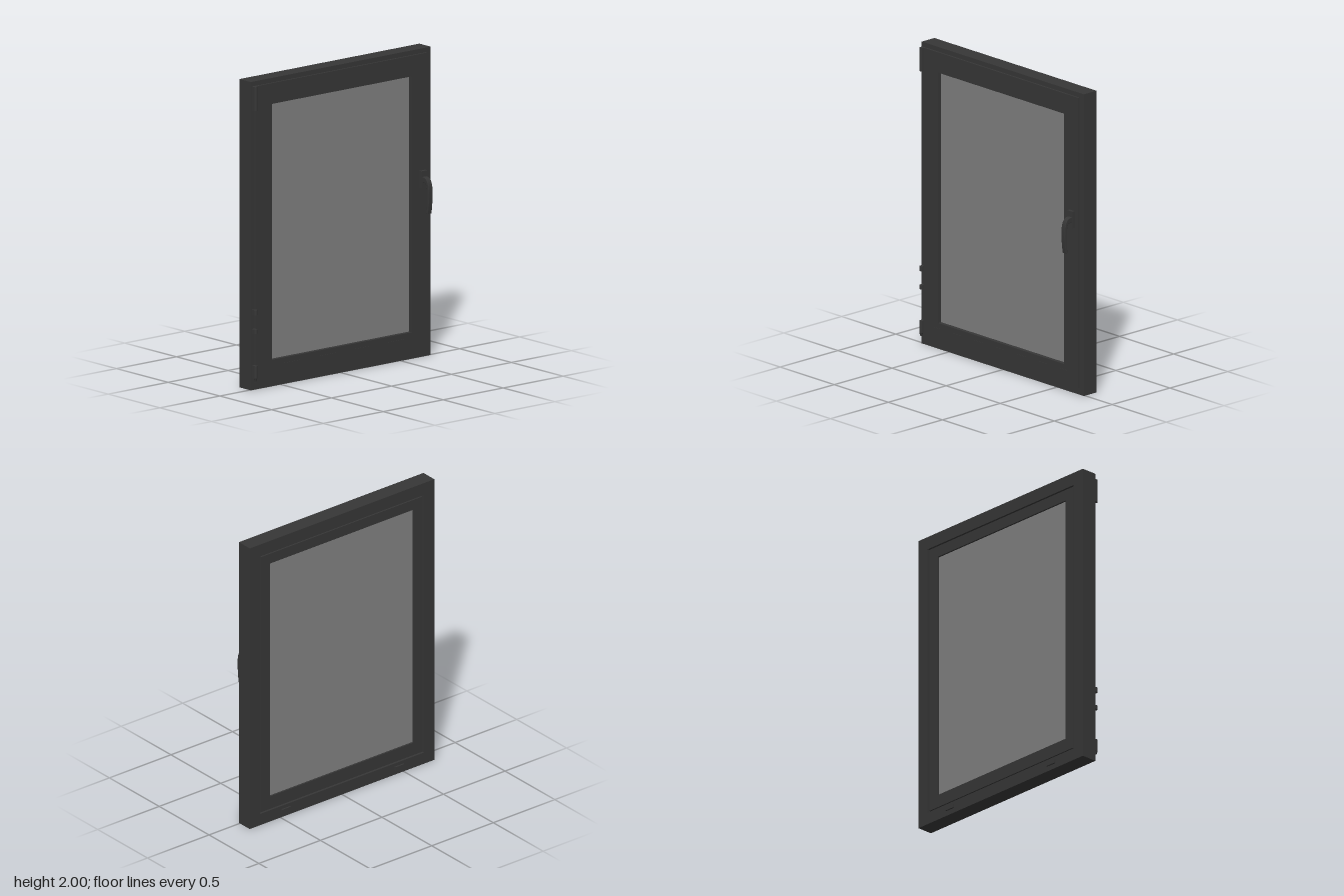
import * as THREE from 'three';

const dark = new THREE.MeshStandardMaterial({ color: 0x363636 });
const glassMat = new THREE.MeshStandardMaterial({ color: 0x7f7f7f });

function add(parent, name, geometry, material = dark) {
  const mesh = new THREE.Mesh(geometry, material);
  mesh.name = name;
  parent.add(mesh);
  return mesh;
}

function box(parent, name, [x0, x1], [y0, y1], [z0, z1], material) {
  const mesh = add(parent, name, new THREE.BoxGeometry(x1 - x0, y1 - y0, z1 - z0), material);
  mesh.position.set((x0 + x1) / 2, (y0 + y1) / 2, (z0 + z1) / 2);
}

// Rectangular ring from z0 to z1; rectangles are [left, right, bottom, top]
function ring(parent, name, outer, inner, z0, z1) {
  const trace = (path, [l, r, b, t]) => {
    path.moveTo(l, b);
    path.lineTo(r, b);
    path.lineTo(r, t);
    path.lineTo(l, t);
    path.closePath();
    return path;
  };
  const shape = trace(new THREE.Shape(), outer);
  shape.holes.push(trace(new THREE.Path(), inner));
  const geo = new THREE.ExtrudeGeometry(shape, { depth: z1 - z0, bevelEnabled: false });
  geo.translate(0, 0, z0);
  add(parent, name, geo);
}

// Vertical round hinge part
function barrel(parent, name, y0, y1, rBottom = 0.012) {
  const mesh = add(parent, name, new THREE.CylinderGeometry(0.012, rBottom, y1 - y0, 20));
  mesh.position.set(-0.73, (y0 + y1) / 2, 0.032);
}

export function createModel() {
  const model = new THREE.Group();

  // Fixed outer frame: back lip and wider front rebate
  const frame = new THREE.Group();
  frame.name = 'outerFrame';
  const outer = [-0.75, 0.75, 0, 2];
  ring(frame, 'frameBack', outer, [-0.665, 0.665, 0.08, 1.915], -0.1, -0.04);
  ring(frame, 'frameFront', outer, [-0.69, 0.69, 0.065, 1.94], -0.04, 0.01);
  for (const x of [-0.463, 0.459]) {
    box(frame, 'drainCap', [x - 0.036, x + 0.036], [0.033, 0.057], [-0.11, -0.1]);
  }
  model.add(frame);

  // Opening sash with overlapping front flange, glazing bead and thick glazing unit
  const sash = new THREE.Group();
  sash.name = 'sash';
  const opening = [-0.585, 0.58, 0.175, 1.835];
  const beadEdge = [-0.622, 0.617, 0.14, 1.872];
  ring(sash, 'sashBody', [-0.655, 0.655, 0.09, 1.905], opening, -0.095, 0.01);
  ring(sash, 'sashFlange', [-0.72, 0.71, 0.045, 1.97], beadEdge, 0.01, 0.023);
  ring(sash, 'glazingBead', beadEdge, opening, 0.01, 0.022);
  ring(sash, 'sashSeal', [-0.67, 0.67, 0.075, 1.92], [-0.65, 0.65, 0.095, 1.9], -0.085, -0.05);
  box(sash, 'glass', [-0.59, 0.585], [0.17, 1.84], [-0.083, -0.005], glassMat);
  model.add(sash);

  // Hinges on the right-hand edge: each a barrel on a leaf
  const hinges = new THREE.Group();
  hinges.name = 'hinges';
  for (const [name, y0, y1] of [
    ['upperHinge', 1.815, 1.97], ['hingeCollar', 0.49, 0.522],
    ['hingeCollar', 0.37, 0.397], ['lowerHinge', 0.08, 0.16],
  ]) {
    barrel(hinges, name, y0, y1);
    box(hinges, 'hingeLeaf', [-0.742, -0.718], [y0, y1], [0.008, 0.032]);
  }
  barrel(hinges, 'lowerHingeTip', 0.06, 0.08, 0.006);
  model.add(hinges);

  // Handle: backplate and curved lever, drawn as a side profile (z, y)
  const handle = new THREE.Group();
  handle.name = 'handle';
  box(handle, 'handleBase', [0.645, 0.679], [1.115, 1.205], [0.02, 0.028]);
  box(handle, 'handlePlate', [0.638, 0.686], [1.105, 1.215], [0.028, 0.05]);
  const side = new THREE.Shape();
  side.moveTo(0.045, 1.178);
  side.lineTo(0.062, 1.177);
  side.bezierCurveTo(0.1, 1.172, 0.108, 1.13, 0.109, 1.09);
  side.bezierCurveTo(0.11, 1.04, 0.106, 0.985, 0.098, 0.945);
  side.lineTo(0.086, 0.948);
  side.bezierCurveTo(0.09, 0.99, 0.092, 1.04, 0.09, 1.09);
  side.bezierCurveTo(0.089, 1.125, 0.08, 1.143, 0.062, 1.143);
  side.lineTo(0.045, 1.143);
  side.closePath();
  const lever = new THREE.ExtrudeGeometry(side, {
    depth: 0.028, curveSegments: 12, bevelSize: 0.003, bevelThickness: 0.003, bevelOffset: -0.003, bevelSegments: 2,
  });
  lever.rotateY(-Math.PI / 2);
  add(handle, 'handleLever', lever).position.x = 0.678;
  model.add(handle);

  return model;
}
